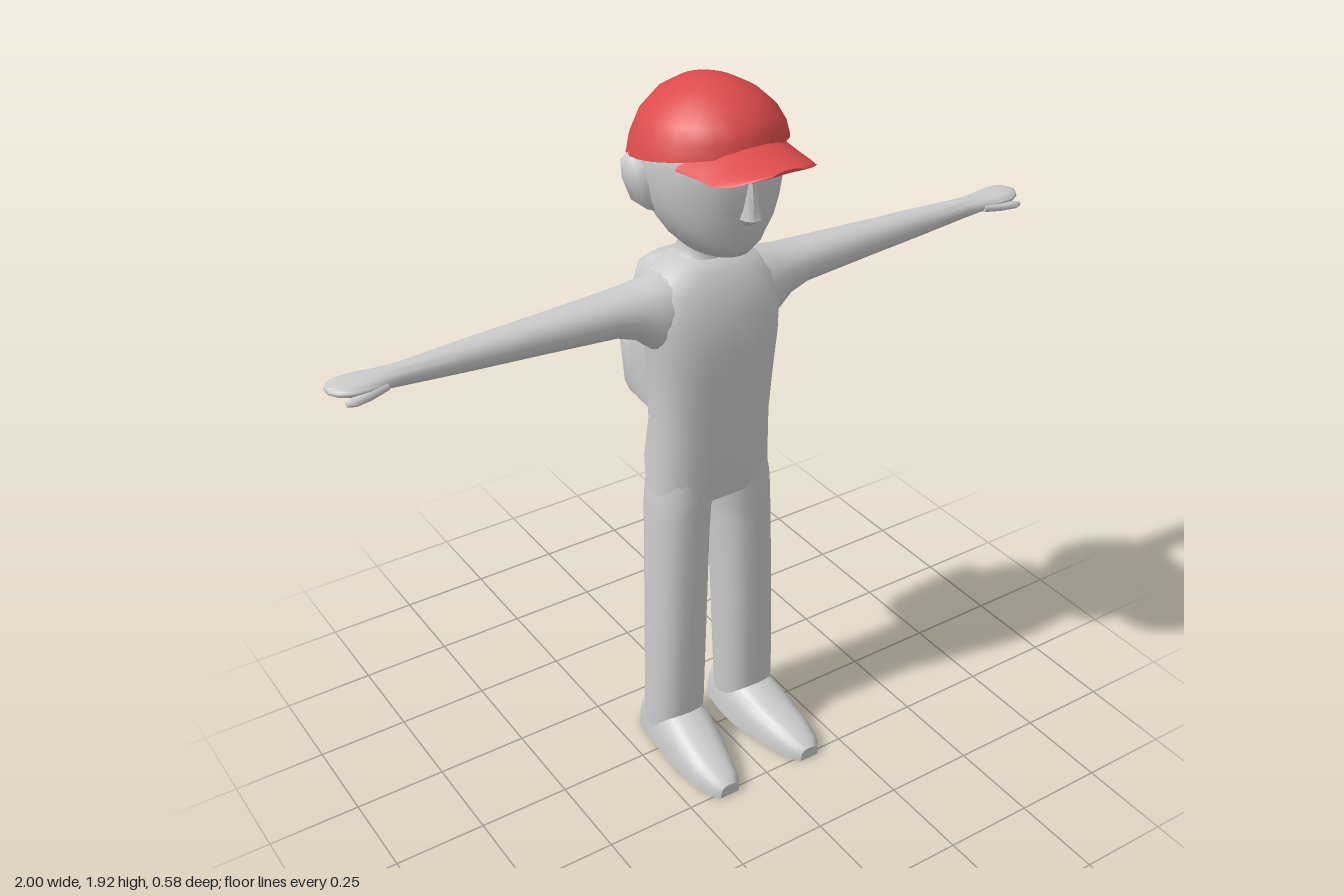
import * as THREE from 'three';
import { toCreasedNormals } from 'three/addons/utils/BufferGeometryUtils.js';

const grey = new THREE.MeshStandardMaterial({ color: 0xcccccc });
const red = new THREE.MeshStandardMaterial({ color: 0xdd4b4b });

// Local loft space (length along y) turned onto each world axis
const AXES = {
  y: (a, t, b) => [a, t, b],
  x: (a, t, b) => [t, b, a],
  z: (a, t, b) => [b, a, t],
};

// Skin through rounded sections [t, a0, a1, b0, b1], t ascending.
// axis y: a = x, b = z;  axis x: a = z, b = y;  axis z: a = y, b = x
function loft(sections, { axis = 'y', n = 2, sides = 24, rule = null, mirror = false, crease = 0.9 } = {}) {
  const pos = [], index = [], last = sections.length - 1;
  const put = (a, t, b) => {
    let p = AXES[axis](a, t, b);
    if (rule) p = rule(p);
    pos.push(mirror ? -p[0] : p[0], p[1], p[2]);
  };
  const tri = (a, b, c) => (mirror ? index.push(a, c, b) : index.push(a, b, c));
  const power = (v) => Math.sign(v) * Math.pow(Math.abs(v), 2 / n);
  for (const [t, a0, a1, b0, b1] of sections) {
    for (let j = 0; j < sides; j++) {
      const u = (j / sides) * Math.PI * 2;
      put((a0 + a1) / 2 + power(Math.cos(u)) * (a1 - a0) / 2, t,
        (b0 + b1) / 2 + power(Math.sin(u)) * (b1 - b0) / 2);
    }
  }
  for (const s of [sections[0], sections[last]]) put((s[1] + s[2]) / 2, s[0], (s[3] + s[4]) / 2);
  const c0 = sections.length * sides, c1 = c0 + 1;
  for (let j = 0; j < sides; j++) {
    const k = (j + 1) % sides;
    for (let i = 0; i < last; i++) {
      const a = i * sides, b = a + sides;
      tri(a + j, b + j, b + k);
      tri(a + j, b + k, a + k);
    }
    tri(c0, j, k);
    tri(c1, last * sides + k, last * sides + j);
  }
  const g = new THREE.BufferGeometry();
  g.setAttribute('position', new THREE.Float32BufferAttribute(pos, 3));
  g.setIndex(index);
  return toCreasedNormals(g, crease);
}

export function createModel() {
  const model = new THREE.Group();
  model.name = 'boyWithCap';
  const add = (name, geometry, material = grey) => {
    const mesh = new THREE.Mesh(geometry, material);
    mesh.name = name;
    model.add(mesh);
  };
  const pair = (name, sections, options) => {
    add('left' + name, loft(sections, options));
    add('right' + name, loft(sections, { ...options, mirror: true }));
  };

  // Torso, from crotch to shoulders
  add('torso', loft([
    [0.81, -0.172, 0.172, -0.14, 0.048],
    [0.90, -0.168, 0.168, -0.16, 0.058],
    [1.02, -0.16, 0.16, -0.145, 0.068],
    [1.15, -0.165, 0.165, -0.14, 0.08],
    [1.25, -0.175, 0.175, -0.14, 0.085],
    [1.34, -0.185, 0.185, -0.14, 0.075],
    [1.41, -0.18, 0.18, -0.14, 0.05],
    [1.45, -0.14, 0.14, -0.135, 0.025],
    [1.475, -0.075, 0.075, -0.125, 0.0],
  ], { n: 2.7, crease: 1.2 }));

  add('neck', loft([
    [1.44, -0.10, 0.10, -0.14, 0.02],
    [1.475, -0.07, 0.07, -0.135, 0.0],
    [1.50, -0.058, 0.058, -0.13, 0.0],
    [1.55, -0.065, 0.065, -0.14, 0.02],
  ]));

  // Head with a tapering jaw
  add('head', loft([
    [1.505, -0.045, 0.045, -0.13, 0.05],
    [1.52, -0.075, 0.075, -0.145, 0.10],
    [1.55, -0.105, 0.105, -0.16, 0.122],
    [1.60, -0.138, 0.138, -0.18, 0.135],
    [1.65, -0.158, 0.158, -0.205, 0.142],
    [1.70, -0.168, 0.168, -0.222, 0.148],
    [1.76, -0.172, 0.172, -0.225, 0.148],
    [1.82, -0.155, 0.155, -0.195, 0.125],
    [1.87, -0.10, 0.10, -0.14, 0.07],
  ], { n: 2.15, crease: 1.2 }));

  add('nose', loft([
    [1.615, -0.015, 0.015, 0.10, 0.143],
    [1.635, -0.028, 0.028, 0.10, 0.172],
    [1.66, -0.022, 0.022, 0.10, 0.166],
    [1.74, -0.014, 0.014, 0.10, 0.153],
  ], { sides: 10 }));

  // Ears, leaning out towards the back
  pair('Ear', [
    [1.615, 0.135, 0.16, -0.09, -0.05],
    [1.635, 0.14, 0.182, -0.115, -0.045],
    [1.69, 0.145, 0.198, -0.13, -0.035],
    [1.73, 0.15, 0.198, -0.13, -0.05],
    [1.75, 0.15, 0.185, -0.115, -0.075],
  ], { sides: 10, rule: ([x, y, z]) => [x - (z + 0.1) * 0.25, y, z] });

  // Cap crown; its rim slopes down to the back and evens out at the top
  const slope = ([x, y, z]) => [x, y + 0.2 * (z + 0.04) * Math.max(0, (1.925 - y) / 0.165), z];
  add('capCrown', loft([
    [1.76, -0.192, 0.192, -0.24, 0.16],
    [1.80, -0.182, 0.182, -0.235, 0.155],
    [1.845, -0.158, 0.158, -0.215, 0.138],
    [1.885, -0.118, 0.118, -0.175, 0.10],
    [1.912, -0.07, 0.07, -0.12, 0.055],
    [1.925, -0.025, 0.025, -0.06, 0.01],
  ], { rule: slope, crease: 1.2 }), red);

  // Cap visor, arched across its width
  add('capVisor', loft([
    [0.06, 1.79, 1.83, -0.155, 0.155],
    [0.14, 1.79, 1.818, -0.142, 0.142],
    [0.19, 1.792, 1.81, -0.138, 0.138],
    [0.23, 1.793, 1.808, -0.12, 0.12],
    [0.265, 1.794, 1.806, -0.085, 0.085],
    [0.287, 1.796, 1.804, -0.045, 0.045],
  ], { axis: 'z', rule: ([x, y, z]) => [x, y - 2.2 * x * x, z] }), red);

  // Arms held straight out, ending in flat hands
  pair('Arm', [
    [0.06, -0.135, 0.04, 1.23, 1.455],
    [0.14, -0.135, 0.04, 1.235, 1.452],
    [0.18, -0.13, 0.032, 1.265, 1.442],
    [0.22, -0.122, 0.022, 1.30, 1.436],
    [0.28, -0.115, 0.015, 1.322, 1.432],
    [0.48, -0.10, 0.0, 1.335, 1.425],
    [0.66, -0.088, -0.008, 1.348, 1.42],
    [0.82, -0.075, -0.015, 1.362, 1.414],
    [0.87, -0.078, -0.005, 1.372, 1.414],
    [0.92, -0.088, 0.008, 1.38, 1.414],
    [0.96, -0.09, 0.005, 1.384, 1.412],
    [0.985, -0.082, -0.008, 1.388, 1.41],
    [1.0, -0.06, -0.03, 1.392, 1.405],
  ], { axis: 'x', n: 2.2, sides: 20, crease: 1.2 });
  pair('Thumb', [
    [0.87, -0.03, 0.0, 1.376, 1.40],
    [0.92, -0.015, 0.018, 1.374, 1.398],
    [0.96, -0.006, 0.024, 1.374, 1.394],
    [0.978, 0.004, 0.018, 1.378, 1.39],
  ], { axis: 'x', sides: 10 });

  // Legs
  pair('Leg', [
    [0.05, 0.042, 0.193, -0.125, 0.03],
    [0.13, 0.038, 0.193, -0.125, 0.038],
    [0.45, 0.029, 0.185, -0.13, 0.045],
    [0.70, 0.02, 0.177, -0.138, 0.047],
    [0.77, 0.014, 0.175, -0.14, 0.047],
    [0.82, 0.0, 0.172, -0.14, 0.047],
    [0.92, 0.0, 0.155, -0.14, 0.04],
  ], { n: 2.4, sides: 20 });

  // Shoes with flat soles, toes turned slightly out
  pair('Shoe', [
    [-0.14, -0.09, 0.09, 0.07, 0.165],
    [-0.12, -0.12, 0.12, 0.045, 0.185],
    [-0.04, -0.13, 0.13, 0.036, 0.195],
    [0.035, -0.12, 0.12, 0.036, 0.2],
    [0.10, -0.095, 0.095, 0.046, 0.201],
    [0.18, -0.07, 0.07, 0.066, 0.197],
    [0.24, -0.052, 0.052, 0.085, 0.183],
    [0.266, -0.036, 0.036, 0.105, 0.163],
  ], { axis: 'z', n: 2.8, rule: ([x, y, z]) => [x, Math.max(0, y), z] });

  // Backpack and its lower pocket
  add('backpack', loft([
    [1.03, -0.125, 0.125, -0.235, -0.05],
    [1.10, -0.135, 0.135, -0.255, -0.05],
    [1.22, -0.135, 0.135, -0.258, -0.05],
    [1.34, -0.125, 0.125, -0.245, -0.05],
    [1.41, -0.112, 0.112, -0.228, -0.05],
    [1.435, -0.09, 0.09, -0.20, -0.05],
    [1.45, -0.07, 0.07, -0.15, -0.05],
  ], { n: 4 }));
  add('backpackPocket', loft([
    [1.03, -0.12, 0.12, -0.265, -0.15],
    [1.06, -0.13, 0.13, -0.275, -0.15],
    [1.17, -0.132, 0.132, -0.293, -0.15],
    [1.20, -0.125, 0.125, -0.295, -0.15],
    [1.208, -0.115, 0.115, -0.265, -0.15],
  ], { n: 4 }));

  return model;
}
